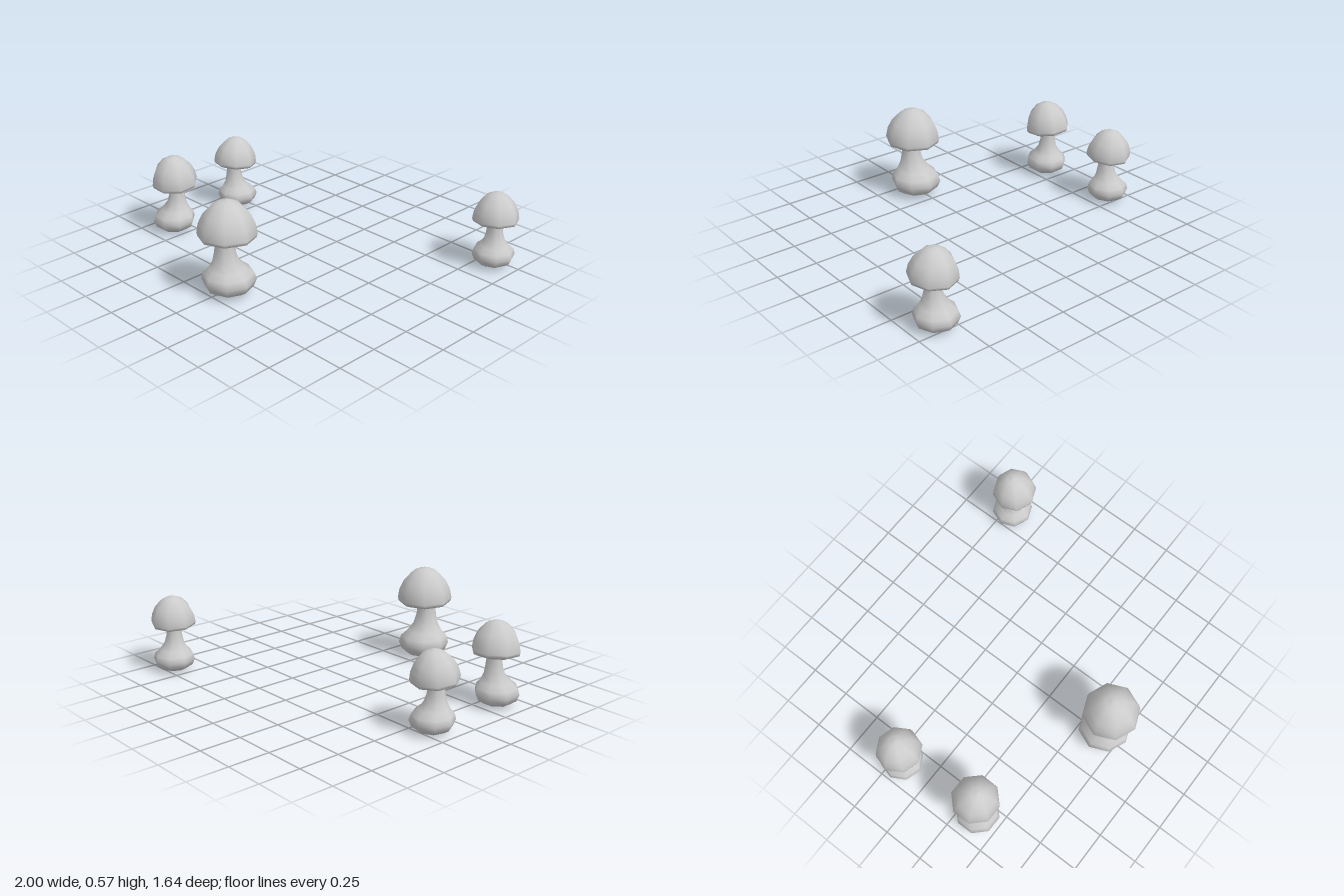
import * as THREE from 'three';

const SIDES = 8;
const CAP_Y = 0.375;
const material = new THREE.MeshStandardMaterial({ color: 0xcccccc, side: THREE.DoubleSide });

// Radius / height profiles at full size, bottom to top
const stemProfile = [
  [0, 0], [0.1, 0.02], [0.138, 0.045], [0.157, 0.088], [0.145, 0.13], [0.108, 0.165],
  [0.077, 0.21], [0.062, 0.265], [0.056, 0.31], [0.054, 0.36],
];
const capProfile = [
  [0, 0.345], [0.06, 0.337], [0.125, 0.342], [0.162, 0.357], [0.169, 0.378],
  [0.159, 0.435], [0.132, 0.493], [0.082, 0.547], [0.04, 0.568], [0, 0.575],
];

// x, z: base centre; cap, stem: centre offsets from the base; tilt: cap lean; turn: facet rotation
const mushrooms = [
  { name: 'frontMushroom', x: 0.025, z: 0.64, h: 1, w: 1, turn: 0, stem: [0.01, 0.03], cap: [0.01, 0.012], tilt: [-0.04, 0.02] },
  { name: 'rightFrontMushroom', x: -0.84, z: 0.357, h: 0.87, w: 0.84, turn: Math.PI / 8, stem: [0.012, -0.02], cap: [0.01, -0.013], tilt: [0.08, -0.04] },
  { name: 'rightBackMushroom', x: -0.868, z: -0.193, h: 0.815, w: 0.81, turn: 0.11, stem: [0, 0.025], cap: [-0.002, 0.011], tilt: [-0.1, 0] },
  { name: 'leftBackMushroom', x: 0.852, z: -0.697, h: 0.815, w: 0.81, turn: 0, stem: [0.006, 0.013], cap: [0.007, 0.013], tilt: [-0.06, 0.05] },
];

function lathe(profile, w, h, turn, baseY = 0) {
  const points = profile.map(([r, y]) => new THREE.Vector2(r * w, (y - baseY) * h));
  return new THREE.LatheGeometry(points, SIDES).rotateY(turn);
}

function createMushroom({ name, x, z, h, w, turn, stem, cap, tilt }) {
  const group = new THREE.Group();
  group.name = name;
  group.position.set(x, 0, z);

  // Bulbous foot whose stalk shifts sideways as it rises
  const stemGeometry = lathe(stemProfile, w, h, turn);
  const pos = stemGeometry.attributes.position;
  for (let i = 0; i < pos.count; i++) {
    const k = THREE.MathUtils.smoothstep(pos.getY(i), 0.09 * h, 0.26 * h);
    pos.setX(i, pos.getX(i) + stem[0] * k);
    pos.setZ(i, pos.getZ(i) + stem[1] * k);
  }
  const stemMesh = new THREE.Mesh(stemGeometry, material);
  stemMesh.name = 'stem';

  // Domed cap, slightly tilted
  const capMesh = new THREE.Mesh(lathe(capProfile, w, h, turn, CAP_Y), material);
  capMesh.name = 'cap';
  capMesh.position.set(cap[0], CAP_Y * h, cap[1]);
  capMesh.rotation.set(tilt[0], 0, tilt[1]);

  group.add(stemMesh, capMesh);
  return group;
}

export function createModel() {
  const model = new THREE.Group();
  model.name = 'mushroomCluster';
  mushrooms.forEach((m) => model.add(createMushroom(m)));
  return model;
}
